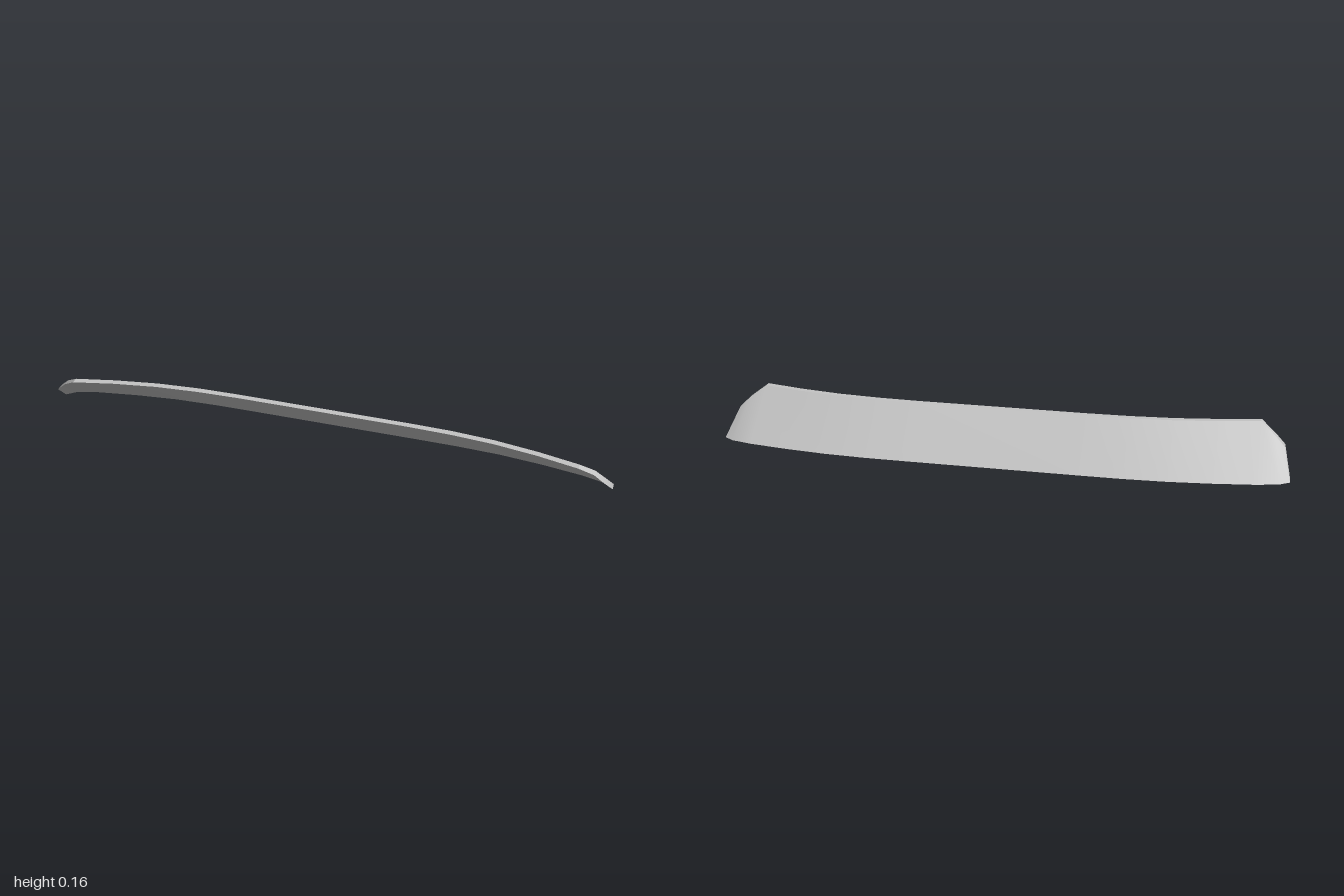
import * as THREE from 'three';
import { toCreasedNormals } from 'three/addons/utils/BufferGeometryUtils.js';

// Right-hand half of the cross-sections, from the middle outwards:
// [bottom x, bottom back z, bottom front z, top x, top y, top back z, top front z]
const HALF = [
  [0.3, -0.128, -0.103, 0.3, 0.158, 0.033, 0.055],
  [0.45, -0.127, -0.102, 0.45, 0.158, 0.036, 0.059],
  [0.6, -0.12, -0.096, 0.6, 0.158, 0.048, 0.071],
  [0.75, -0.104, -0.08, 0.75, 0.158, 0.072, 0.095],
  [0.89, -0.083, -0.058, 0.89, 0.158, 0.103, 0.127],
  [0.965, -0.064, -0.038, 0.94, 0.122, 0.071, 0.098],
  [1.0, -0.04, -0.01, 0.975, 0.088, 0.055, 0.087],
];

// Corners of one section: bottom back, top back, top front, bottom front
function section([bx, bb, bf, tx, ty, tb, tf], side) {
  return [[bx * side, 0, bb], [tx * side, ty, tb], [tx * side, ty, tf], [bx * side, 0, bf]];
}

function bladeGeometry() {
  const rings = [
    ...[...HALF].reverse().map((s) => section(s, -1)),
    ...HALF.map((s) => section(s, 1)),
  ];
  const index = [];
  const last = rings.length - 1;
  for (let i = 0; i < last; i++) {
    for (let k = 0; k < 4; k++) {
      const a = i * 4 + k, b = i * 4 + ((k + 1) % 4);
      index.push(a, b, b + 4, a, b + 4, a + 4);
    }
  }
  // End caps
  const e = last * 4;
  index.push(0, 2, 1, 0, 3, 2, e, e + 1, e + 2, e, e + 2, e + 3);

  const geometry = new THREE.BufferGeometry();
  geometry.setAttribute('position', new THREE.Float32BufferAttribute(rings.flat(2), 3));
  geometry.setIndex(index);
  return toCreasedNormals(geometry, THREE.MathUtils.degToRad(30));
}

export function createModel() {
  const grey = new THREE.MeshStandardMaterial({ color: 0xc4c4c4 });
  grey.name = 'light grey';

  // Curved, forward-leaning strip with clipped upper corners
  const blade = new THREE.Mesh(bladeGeometry(), grey);
  blade.name = 'curvedBlade';

  const model = new THREE.Group();
  model.name = 'curvedStrip';
  model.add(blade);
  return model;
}
